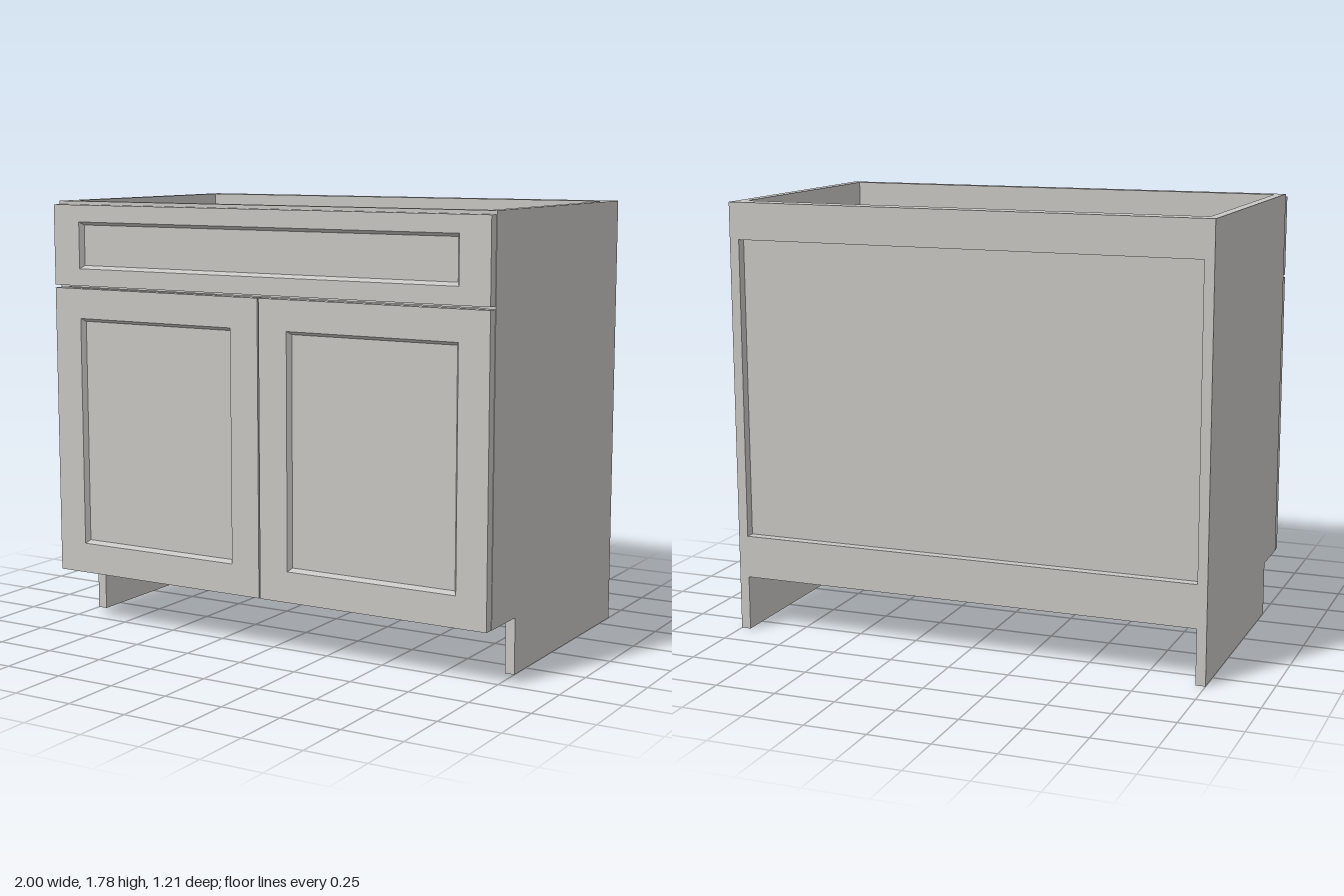
import * as THREE from 'three';

export function createModel() {
  const model = new THREE.Group();
  model.name = 'baseCabinet';
  const grey = new THREE.MeshStandardMaterial({ color: 0xc8c6c3 });
  grey.name = 'warm grey';

  const add = (name, geometry, parent = model) => {
    const mesh = new THREE.Mesh(geometry, grey);
    mesh.name = name;
    parent.add(mesh);
    return mesh;
  };
  const box = (name, x0, x1, y0, y1, z0, z1, parent) => {
    const mesh = add(name, new THREE.BoxGeometry(x1 - x0, y1 - y0, z1 - z0), parent);
    mesh.position.set((x0 + x1) / 2, (y0 + y1) / 2, (z0 + z1) / 2);
    return mesh;
  };

  const H = 1.78, T = 0.04, IN = 1 - T;
  const BACK = -0.604, FACE = 0.563, FRONT = 0.604, FLOOR = 0.225;

  // Side panels with a toe notch, profile drawn in (-z, y)
  const profile = new THREE.Shape([
    [-0.355, 0], [-BACK, 0], [-BACK, H], [-FACE, H], [-FACE, FLOOR], [-0.355, FLOOR],
  ].map(([a, b]) => new THREE.Vector2(a, b)));
  for (const [name, x] of [['leftSide', IN], ['rightSide', -1]]) {
    const g = new THREE.ExtrudeGeometry(profile, { depth: T, bevelEnabled: false });
    g.rotateY(Math.PI / 2);
    add(name, g).position.x = x;
  }

  // Carcass: floor, back panel with rails, front apron and stretcher
  box('floor', -IN, IN, FLOOR, FLOOR + T, BACK, FACE);
  box('backPanel', -IN, IN, FLOOR + T, H, BACK + T, -0.525);
  box('backTopRail', -IN, IN, 1.63, H, BACK, BACK + T);
  box('backBottomRail', -IN, IN, FLOOR + T, 0.4, BACK, BACK + T);
  box('frontApron', -IN, IN, 1.425, H, 0.52, FACE);
  box('stretcher', -IN, IN, 1.425, 1.465, 0.335, 0.52);

  // Framed front: outer frame, sloped moulding and recessed centre panel
  const rect = (Type, [x0, x1, y0, y1]) => new Type(
    [[x0, y0], [x1, y0], [x1, y1], [x0, y1]].map(([x, y]) => new THREE.Vector2(x, y)));
  const corners = ([x0, x1, y0, y1], z) => [[x0, y0, z], [x1, y0, z], [x1, y1, z], [x0, y1, z]];

  function framedFront(name, outer, opening) {
    const group = new THREE.Group();
    group.name = name;
    model.add(group);
    const shape = rect(THREE.Shape, outer);
    shape.holes.push(rect(THREE.Path, opening));
    const frame = new THREE.ExtrudeGeometry(shape, { depth: FRONT - FACE, bevelEnabled: false });
    add(name + 'Frame', frame, group).position.z = FACE;

    const b = 0.013, low = FRONT - 0.02;
    const [x0, x1, y0, y1] = opening;
    const rim = corners(opening, FRONT);
    const foot = corners([x0 + b, x1 - b, y0 + b, y1 - b], low);
    const points = [];
    for (let i = 0; i < 4; i++) {
      const j = (i + 1) % 4;
      points.push(...rim[i], ...rim[j], ...foot[j], ...rim[i], ...foot[j], ...foot[i]);
    }
    const moulding = new THREE.BufferGeometry();
    moulding.setAttribute('position', new THREE.Float32BufferAttribute(points, 3));
    moulding.computeVertexNormals();
    add(name + 'Moulding', moulding, group);
    box(name + 'Panel', x0, x1, y0, y1, FACE, low, group);
  }

  framedFront('drawerFront', [-0.998, 0.998, 1.435, 1.766], [-0.87, 0.87, 1.505, 1.697]);
  framedFront('leftDoor', [0.003, 0.998, FLOOR, 1.423], [0.13, 0.87, 0.35, 1.3]);
  framedFront('rightDoor', [-0.998, -0.003, FLOOR, 1.423], [-0.87, -0.13, 0.35, 1.3]);

  return model;
}
